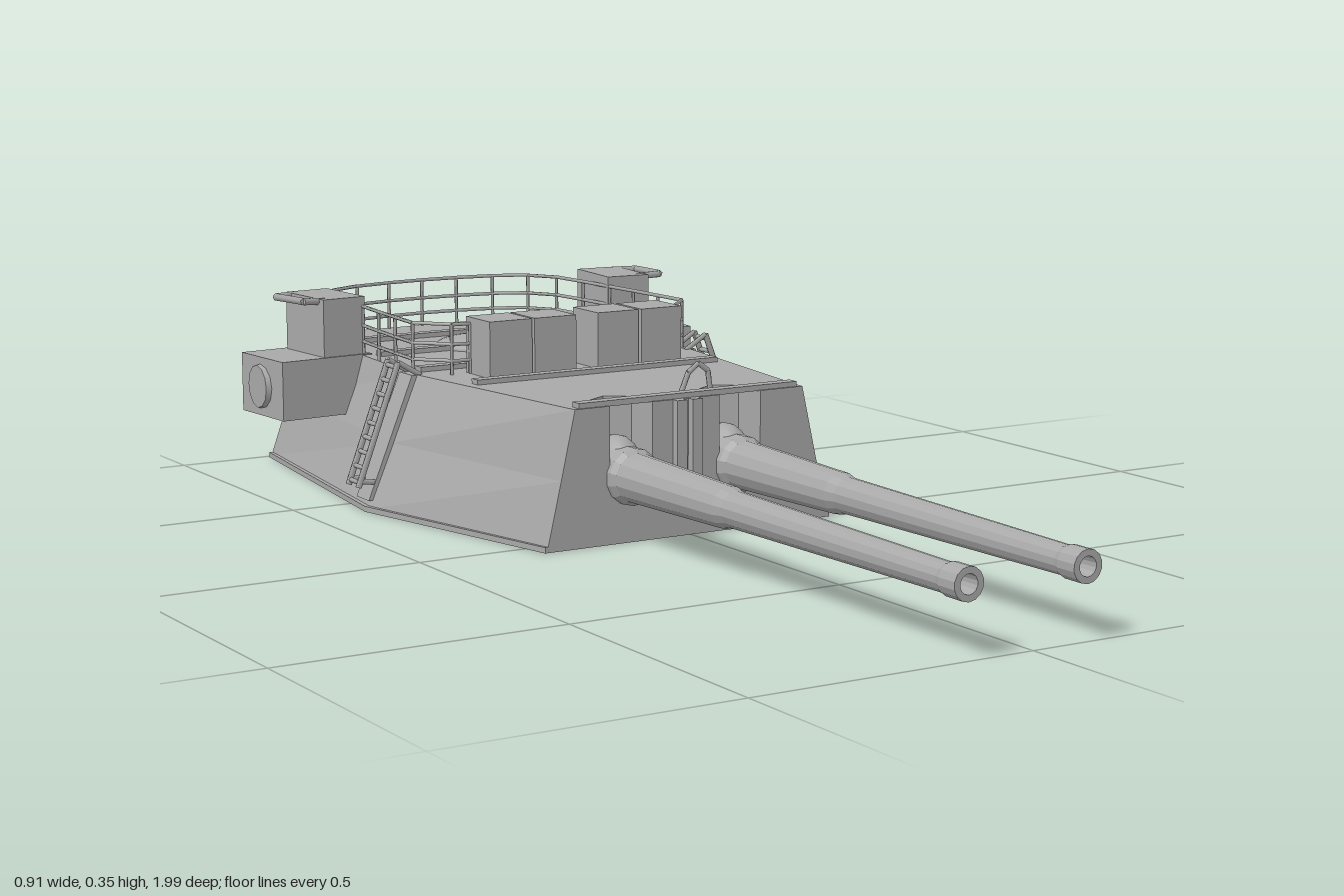
import * as THREE from 'three';

const grey = new THREE.MeshStandardMaterial({ color: 0xa8a8a8 });
grey.name = 'grey paint';
const V = (x, y, z) => new THREE.Vector3(x, y, z);

function add(parent, name, geometry, x = 0, y = 0, z = 0) {
  const mesh = new THREE.Mesh(geometry, grey);
  mesh.name = name;
  mesh.position.set(x, y, z);
  parent.add(mesh);
  return mesh;
}
const box = (p, name, w, h, d, x, y, z) => add(p, name, new THREE.BoxGeometry(w, h, d), x, y, z);

// Thin bar between two points
function bar(parent, name, a, b, r = 0.004) {
  const mesh = add(parent, name, new THREE.CylinderGeometry(r, r, a.distanceTo(b), 5));
  mesh.position.copy(a).add(b).multiplyScalar(0.5);
  mesh.quaternion.setFromUnitVectors(V(0, 1, 0), b.clone().sub(a).normalize());
  return mesh;
}
function chain(parent, name, pts, r) {
  for (let i = 1; i < pts.length; i++) bar(parent, name, pts[i - 1], pts[i], r);
}

// Flat-sided solid between a lower and an upper outline of [x, z] points
function loft(y0, low, y1, high) {
  const pos = [];
  const put = (y, p) => pos.push(p[0], y, p[1]);
  low.forEach((a, i) => {
    const j = (i + 1) % low.length;
    put(y0, a); put(y0, low[j]); put(y1, high[j]);
    put(y0, a); put(y1, high[j]); put(y1, high[i]);
  });
  const caps = (pts) => THREE.ShapeUtils.triangulateShape(pts.map(p => new THREE.Vector2(p[0], -p[1])), []);
  caps(high).forEach(f => f.forEach(i => put(y1, high[i])));
  caps(low).forEach(f => [f[2], f[1], f[0]].forEach(i => put(y0, low[i])));
  const g = new THREE.BufferGeometry();
  g.setAttribute('position', new THREE.Float32BufferAttribute(pos, 3));
  g.computeVertexNormals();
  return g;
}

const TOP = 0.24;
const GUNS = [-0.12, 0.1];

// Hull outline at height fraction t, optionally with gun slots in the front edge
function outline(t, slots) {
  const mix = (a, b) => a + (b - a) * t;
  const front = mix(0.285, 0.23), mid = mix(0.39, 0.29), back = mix(0.32, 0.25);
  const zMid = -0.42, zBack = mix(-0.99, -0.965);
  const pts = [[-front, 0.05]];
  if (slots) for (const x of GUNS) {
    pts.push([x - 0.042, 0.05], [x - 0.042, -0.02], [x, -0.045], [x + 0.042, -0.02], [x + 0.042, 0.05]);
  }
  pts.push([front, 0.05], [mid, zMid], [back, zBack], [-back, zBack], [-mid, zMid]);
  return pts;
}

export function createModel() {
  const model = new THREE.Group();
  model.name = 'gunTurret';

  // Armoured hull
  const split = 0.12 / TOP;
  add(model, 'lowerHull', loft(0.004, outline(0), 0.12, outline(split)));
  add(model, 'upperHull', loft(0.12, outline(split, true), TOP, outline(1, true)));
  const lip = outline(0).map(([x, z]) => [x * 1.015, z]);
  add(model, 'baseLip', loft(0, lip, 0.01, lip));

  // Ribs on the front face between the guns
  for (const x of [-0.027, 0.004]) box(model, 'frontRib', 0.02, 0.2, 0.02, x, 0.14, 0.055);

  // Guns: stepped barrel with a hollow muzzle
  const profile = [[0.05, -0.05], [0.05, 0.06], [0.043, 0.07], [0.041, 0.16], [0.036, 0.36],
    [0.031, 0.38], [0.024, 0.95], [0.027, 0.96], [0.027, 1], [0.016, 1], [0.014, 0.96], [0, 0.96]]
    .map(([r, z]) => new THREE.Vector2(r, z));
  const barrel = new THREE.LatheGeometry(profile, 14).toNonIndexed();
  barrel.computeVertexNormals();
  barrel.rotateX(Math.PI / 2);
  GUNS.forEach(x => {
    add(model, 'gunBarrel', barrel, x, 0.115, 0);
    const mantlet = add(model, 'mantlet', new THREE.SphereGeometry(0.055, 12, 8), x, 0.125, 0);
    mantlet.scale.set(0.75, 1, 1);
  });

  // Front sight bracket on the roof
  chain(model, 'frontBracket', [V(0.01, TOP, 0), V(0.025, 0.275, 0), V(0.045, 0.29, 0),
    V(0.065, 0.275, 0), V(0.07, TOP, 0)], 0.005);

  // Roof seams
  for (const [z, w] of [[0.035, 0.44], [-0.27, 0.5], [-0.45, 0.54], [-0.65, 0.5], [-0.82, 0.46]])
    box(model, 'roofSeam', w, 0.01, 0.022, 0, TOP + 0.004, z);

  // Roof hatch
  const dome = add(model, 'roofHatch',
    new THREE.SphereGeometry(0.1, 24, 6, 0, Math.PI * 2, 0, Math.PI / 2), -0.01, TOP, -0.67);
  dome.scale.y = 0.2;

  // Lockers across the roof
  for (const x of [-0.157, -0.066, 0.065, 0.157])
    box(model, 'roofLocker', 0.086, 0.105, 0.09, x, TOP + 0.05, -0.35);
  for (const x of [-0.111, 0.111])
    box(model, 'lockerJoint', 0.02, 0.095, 0.07, x, TOP + 0.045, -0.35);

  // Railing around the rear roof
  const half = [[0.2, -0.38], [0.235, -0.385], [0.285, -0.44], [0.28, -0.52], [0.274, -0.6], [0.267, -0.68],
    [0.26, -0.77], [0.25, -0.86], [0.215, -0.915], [0.15, -0.945], [0.075, -0.958]];
  const path = [...half, [0, -0.962], ...half.map(([x, z]) => [-x, z]).reverse()];
  const rail = new THREE.Group();
  rail.name = 'railing';
  model.add(rail);
  for (const y of [0.265, 0.295, 0.331])
    chain(rail, 'rail', path.map(([x, z]) => V(x, y, z)), 0.0035);
  for (const [x, z] of path) bar(rail, 'railPost', V(x, TOP - 0.005, z), V(x, 0.331, z), 0.0035);

  for (const s of [-1, 1]) {
    // Rangefinder housing on each side
    const finder = new THREE.Group();
    finder.name = s > 0 ? 'leftRangefinder' : 'rightRangefinder';
    model.add(finder);
    box(finder, 'rangefinderArm', 0.19, 0.11, 0.155, s * 0.353, 0.187, -0.745).rotation.y = -s * 0.08;
    box(finder, 'rangefinderCabinet', 0.088, 0.11, 0.14, s * 0.313, 0.295, -0.745).rotation.y = -s * 0.08;
    const lens = add(finder, 'rangefinderLens', new THREE.CylinderGeometry(0.04, 0.045, 0.02, 12), s * 0.445, 0.187, -0.745);
    lens.rotation.z = -s * Math.PI / 2;
    chain(finder, 'cabinetHandle', [V(s * 0.34, 0.345, -0.695), V(s * 0.385, 0.348, -0.685),
      V(s * 0.393, 0.345, -0.79), V(s * 0.345, 0.345, -0.8)], 0.007);

    // Sloping side ladder
    const ladder = new THREE.Group();
    ladder.name = 'sideLadder';
    model.add(ladder);
    const at = (t, z) => V(s * (0.325 + 0.083 * t), 0.265 - 0.22 * t, z);
    for (const z of [-0.42, -0.46]) {
      bar(ladder, 'ladderRail', at(0, z), at(1, z), 0.006);
      bar(ladder, 'ladderBracket', at(0, z), V(s * 0.28, 0.238, z), 0.005);
      bar(ladder, 'ladderFoot', at(0.95, z), V(s * 0.36, 0.05, z), 0.005);
    }
    for (let i = 0; i <= 8; i++)
      bar(ladder, 'ladderRung', at(0.04 + i * 0.115, -0.42), at(0.04 + i * 0.115, -0.46), 0.0045);
    // Raised strip behind the ladder
    const strip = (x0, x1) => [[x0, -0.415], [x1, -0.415], [x1, -0.465], [x0, -0.465]];
    add(model, 'ladderStrip', s > 0
      ? loft(0.02, strip(0.36, 0.39), TOP, strip(0.27, 0.3))
      : loft(0.02, strip(-0.39, -0.36), TOP, strip(-0.3, -0.27)));
  }
  return model;
}
